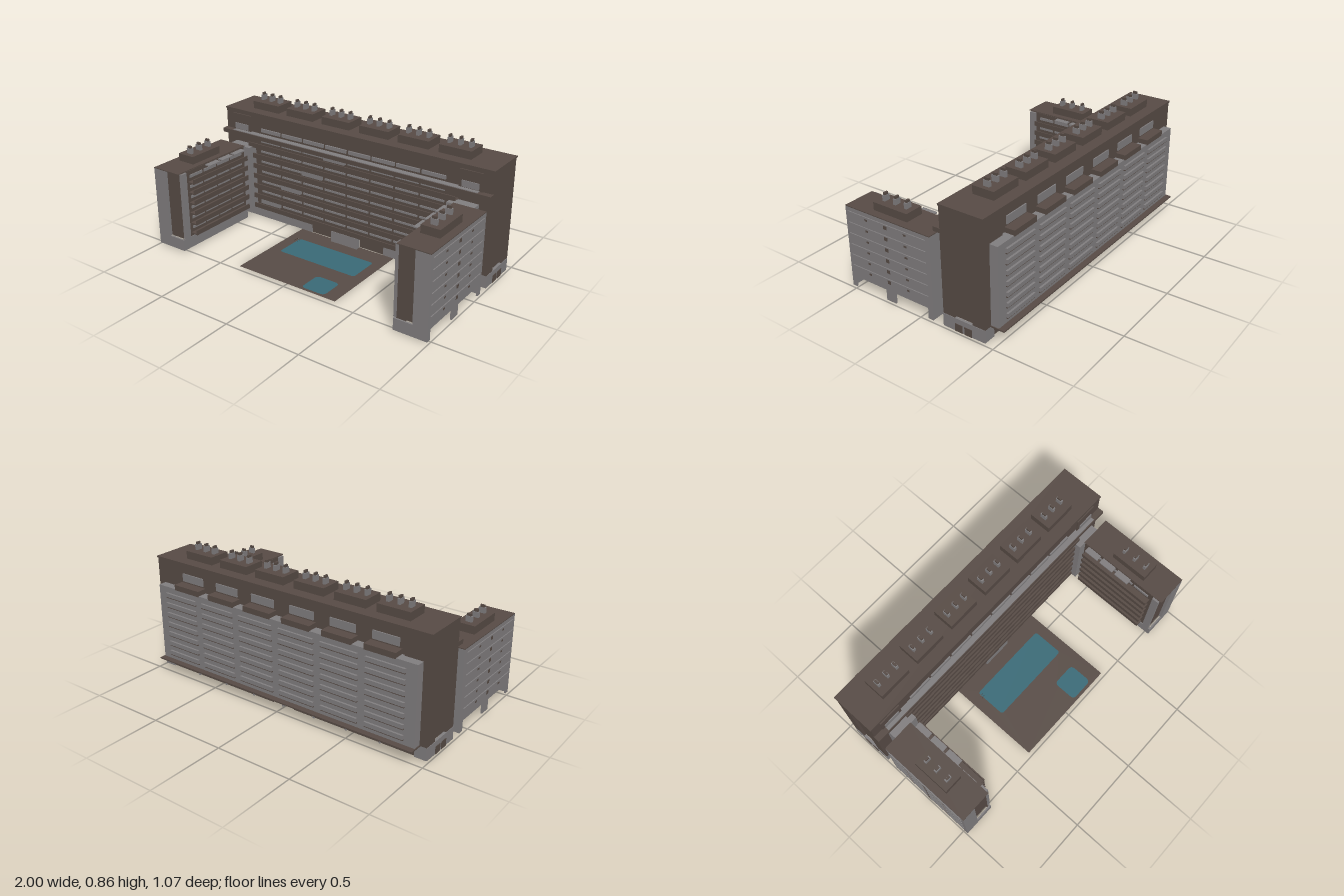
import * as THREE from 'three';

const mat = (name, color, side = THREE.FrontSide) => {
  const m = new THREE.MeshStandardMaterial({ color, side });
  m.name = name;
  return m;
};

export function createModel() {
  const root = new THREE.Group();
  root.name = 'hotel';
  const grey = mat('grey concrete', 0x827f80);
  const brown = mat('brown cladding', 0x584c46);
  const teal = mat('pool water', 0x3a6b78, THREE.DoubleSide);
  const paving = mat('brown paving', 0x594d47, THREE.DoubleSide);

  const group = (name, parent = root) => {
    const g = new THREE.Group();
    g.name = name;
    parent.add(g);
    return g;
  };
  // Box given by its minimum and maximum corners
  const box = (parent, name, m, x0, x1, y0, y1, z0, z1) => {
    const mesh = new THREE.Mesh(new THREE.BoxGeometry(x1 - x0, y1 - y0, z1 - z0), m);
    mesh.position.set((x0 + x1) / 2, (y0 + y1) / 2, (z0 + z1) / 2);
    mesh.name = name;
    parent.add(mesh);
    return mesh;
  };
  // Roof vent: square shaft with a small cap
  const vent = (parent, x, y, z, w, d) => {
    box(parent, 'ventShaft', grey, x - w / 2, x + w / 2, y, y + 0.035, z - d / 2, z + d / 2);
    box(parent, 'ventCap', brown, x - w / 3, x + w / 3, y + 0.035, y + 0.05, z - d / 3, z + d / 3);
  };
  const bays = [-0.71, -0.43, -0.147, 0.14, 0.42, 0.70];

  // Main block: core, corner piers and parapet
  const main = group('mainBlock');
  box(main, 'core', brown, -0.975, 0.975, 0.09, 0.745, -0.435, -0.165);
  for (const s of [-1, 1]) {
    for (const [z0, z1] of [[-0.445, -0.36], [-0.24, -0.16]])
      box(main, 'cornerPier', brown, s * 0.91 - 0.08, s * 0.91 + 0.08, 0.09, 0.745, z0, z1);
  }
  box(main, 'parapet', brown, -0.995, 0.995, 0.745, 0.755, -0.45, -0.157);

  // Ground floor: hollow, with walls, posts and openings
  const ground = group('groundFloor');
  for (const s of [-1, 1]) {
    const cx = s * 0.985;
    box(ground, 'endWall', grey, cx - 0.008, cx + 0.008, 0.01, 0.09, -0.44, -0.16);
    for (const z of [-0.268, -0.332])
      box(ground, 'endDoor', brown, cx - 0.011, cx + 0.011, 0.01, 0.058, z - 0.025, z + 0.025);
    box(ground, 'frontWall', grey, s * 0.635 - 0.355, s * 0.635 + 0.355, 0.01, 0.09, -0.175, -0.16);
    box(ground, 'backCorner', grey, s * 0.955 - 0.035, s * 0.955 + 0.035, 0.01, 0.09, -0.445, -0.43);
    box(ground, 'entranceWall', brown, s * 0.19 - 0.09, s * 0.19 + 0.09, 0.01, 0.09, -0.18, -0.167);
    box(ground, 'backWall', brown, s * 0.5 - 0.42, s * 0.5 + 0.42, 0.01, 0.09, -0.435, -0.425);
  }
  for (let i = 0; i < 9; i++) {
    const x = -0.92 + i * 0.23;
    box(ground, 'backPost', grey, x - 0.006, x + 0.006, 0.01, 0.09, -0.445, -0.425);
  }
  box(ground, 'entrancePorch', grey, -0.1, 0.1, 0.01, 0.085, -0.16, -0.125);

  // Rear slab with rows of balconies
  const rear = group('rearFacade');
  box(rear, 'rearSlab', grey, -0.945, 0.94, 0.095, 0.59, -0.497, -0.43);
  box(rear, 'rearCanopy', brown, -0.95, 0.945, 0.088, 0.096, -0.535, -0.43);
  for (let c = 0; c < 6; c++) {
    const x = -0.75 + c * 0.3;
    for (let r = 0; r < 7; r++) {
      const y = 0.13 + r * 0.066;
      box(rear, 'rearBalcony', grey, x - 0.125, x + 0.125, y, y + 0.026, -0.51, -0.49);
      box(rear, 'rearWindowShade', brown, x - 0.125, x + 0.125, y - 0.007, y, -0.506, -0.49);
    }
  }
  for (const x of bays) {
    box(rear, 'topBalcony', brown, x - 0.1, x + 0.1, 0.585, 0.62, -0.5, -0.43);
    box(rear, 'topWindow', grey, x - 0.085, x + 0.085, 0.63, 0.68, -0.442, -0.43);
  }

  // Front facade: balcony bands with glazing set back behind them
  const front = group('frontFacade');
  box(front, 'balconyBack', brown, -0.78, 0.78, 0.09, 0.535, -0.165, -0.155);
  for (let r = 0; r < 7; r++) {
    const y = 0.09 + r * 0.0725;
    box(front, 'balconyBand', brown, -0.775, 0.775, y, y + 0.032, -0.128, -0.12);
    box(front, 'balconyFloor', brown, -0.775, 0.775, y, y + 0.008, -0.16, -0.125);
    for (let c = 0; c < 8; c++) {
      const x = -0.613 + c * 0.175;
      const proud = (c * 3 + r * 5) % 13 === 0; // a few drawn awnings
      box(front, proud ? 'awning' : 'window', grey, x - 0.08, x + 0.08,
        y + (proud ? 0.034 : 0.037), y + (proud ? 0.066 : 0.05), -0.157, proud ? -0.135 : -0.15);
    }
  }
  box(front, 'upperBand', brown, -0.995, 0.995, 0.585, 0.612, -0.165, -0.12);
  box(front, 'upperBandTop', grey, -0.91, 0.91, 0.612, 0.616, -0.165, -0.125);
  for (let c = 0; c < 8; c++) {
    const x = -0.613 + c * 0.175;
    box(front, 'upperWindow', grey, x - 0.08, x + 0.08, 0.632, 0.655, -0.165, -0.155);
  }
  for (const s of [-1, 1]) {
    const x = s * 0.853;
    box(front, 'cornerBay', brown, x - 0.075, x + 0.075, 0.612, 0.725, -0.16, -0.152);
    box(front, 'cornerBayWindow', grey, x - 0.055, x + 0.055, 0.62, 0.66, -0.153, -0.147);
    // Link between main block and wing
    box(front, 'linkWall', grey, s * 0.825 - 0.085, s * 0.825 + 0.085, 0.092, 0.53, -0.16, -0.085);
  }

  // Main roof boxes and vents
  const roof = group('roofPlant');
  for (const x of bays) {
    box(roof, 'plantRoom', brown, x - 0.106, x + 0.106, 0.75, 0.805, -0.375, -0.235);
    for (const dx of [-0.07, 0, 0.07]) vent(roof, x + dx, 0.805, -0.305, 0.018, 0.04);
  }

  // Side wings, built for the left and mirrored by sign
  for (const s of [-1, 1]) {
    const wing = group(s > 0 ? 'leftWing' : 'rightWing');
    const b = (name, m, x0, x1, y0, y1, z0, z1) =>
      box(wing, name, m, Math.min(s * x0, s * x1), Math.max(s * x0, s * x1), y0, y1, z0, z1);
    b('wingCore', brown, 0.785, 0.985, 0.085, 0.53, -0.08, 0.51);
    b('outerWall', grey, 0.9, 0.993, 0.085, 0.532, -0.087, 0.53);
    b('wingRoof', brown, 0.785, 0.993, 0.532, 0.537, -0.087, 0.53);
    b('innerEndPier', grey, 0.772, 0.79, 0.085, 0.53, 0.47, 0.515);
    // Hollow base with two openings on the outer side
    b('baseInnerWall', grey, 0.78, 0.79, 0.01, 0.085, -0.087, 0.53);
    b('baseLining', brown, 0.79, 0.795, 0.01, 0.084, -0.075, 0.518);
    b('baseFrontWall', grey, 0.78, 0.993, 0.01, 0.085, 0.52, 0.53);
    b('baseRearWall', grey, 0.78, 0.993, 0.01, 0.085, -0.087, -0.077);
    for (const [z0, z1] of [[-0.087, -0.052], [0.19, 0.26], [0.5, 0.53]])
      b('basePier', grey, 0.983, 0.993, 0.01, 0.085, z0, z1);
    b('baseLintel', grey, 0.983, 0.993, 0.078, 0.086, -0.087, 0.53);
    // Outer bands with small windows, and inner balconies
    for (let r = 0; r < 6; r++) {
      const y = 0.122 + r * 0.07;
      b('outerBand', grey, 0.99, 0.999, y, y + 0.036, -0.06, 0.508);
      for (const [z, w, h] of [[0.225, 0.012, 0.011], [0.083, 0.01, 0.006], [0.37, 0.01, 0.006]])
        b('outerWindow', brown, 0.99, 1.0, y + 0.018 - h, y + 0.018 + h, z - w, z + w);
      b('innerBalcony', brown, 0.735, 0.742, y - 0.02, y + 0.012, -0.06, 0.45);
      b('innerBalconyFloor', brown, 0.735, 0.79, y - 0.02, y - 0.012, -0.06, 0.45);
      for (let c = 0; c < 4; c++) {
        const z = 0.005 + c * 0.125;
        b('innerWindow', grey, 0.778, 0.79, y + 0.012, y + 0.03, z - 0.055, z + 0.055);
      }
    }
    for (const z of [0.0, 0.12, 0.24])
      b('innerAwning', grey, 0.745, 0.785, 0.518, 0.526, z - 0.05, z + 0.05);
    b('wingPlantRoom', brown, 0.825, 0.945, 0.535, 0.587, 0.11, 0.356);
    for (const z of [0.155, 0.235, 0.315]) vent(wing, s * 0.885, 0.587, z, 0.04, 0.018);
  }

  // Courtyard with two pools cut into the paving
  const roundedRect = (P, x0, x1, z0, z1, r) => {
    const p = new P();
    p.moveTo(x0 + r, -z0);
    p.lineTo(x1 - r, -z0); p.quadraticCurveTo(x1, -z0, x1, -z0 - r);
    p.lineTo(x1, -z1 + r); p.quadraticCurveTo(x1, -z1, x1 - r, -z1);
    p.lineTo(x0 + r, -z1); p.quadraticCurveTo(x0, -z1, x0, -z1 + r);
    p.lineTo(x0, -z0 - r); p.quadraticCurveTo(x0, -z0, x0 + r, -z0);
    return p;
  };
  const court = group('courtyard');
  const flat = (name, shape, m) => {
    const mesh = new THREE.Mesh(new THREE.ShapeGeometry(shape, 6), m);
    mesh.rotation.x = -Math.PI / 2;
    mesh.position.y = 0.01;
    mesh.name = name;
    court.add(mesh);
  };
  const pools = [[-0.285, 0.285, -0.035, 0.175, 0.02], [0.1, 0.265, 0.295, 0.455, 0.03]];
  const deck = roundedRect(THREE.Shape, -0.362, 0.357, -0.16, 0.475, 0.001);
  for (const p of pools) {
    deck.holes.push(roundedRect(THREE.Path, ...p));
    flat('poolWater', roundedRect(THREE.Shape, ...p), teal);
  }
  flat('deck', deck, paving);

  // Pool ladder
  for (const z of [-0.01, 0.008]) {
    const path = new THREE.CatmullRomCurve3([[-0.275, 0.0], [-0.275, 0.02], [-0.285, 0.026], [-0.295, 0.02],
      [-0.295, 0.01]].map(([x, y]) => new THREE.Vector3(x, y, z)));
    const rail = new THREE.Mesh(new THREE.TubeGeometry(path, 12, 0.0015, 6), brown);
    rail.name = 'poolLadderRail';
    court.add(rail);
  }
  return root;
}
